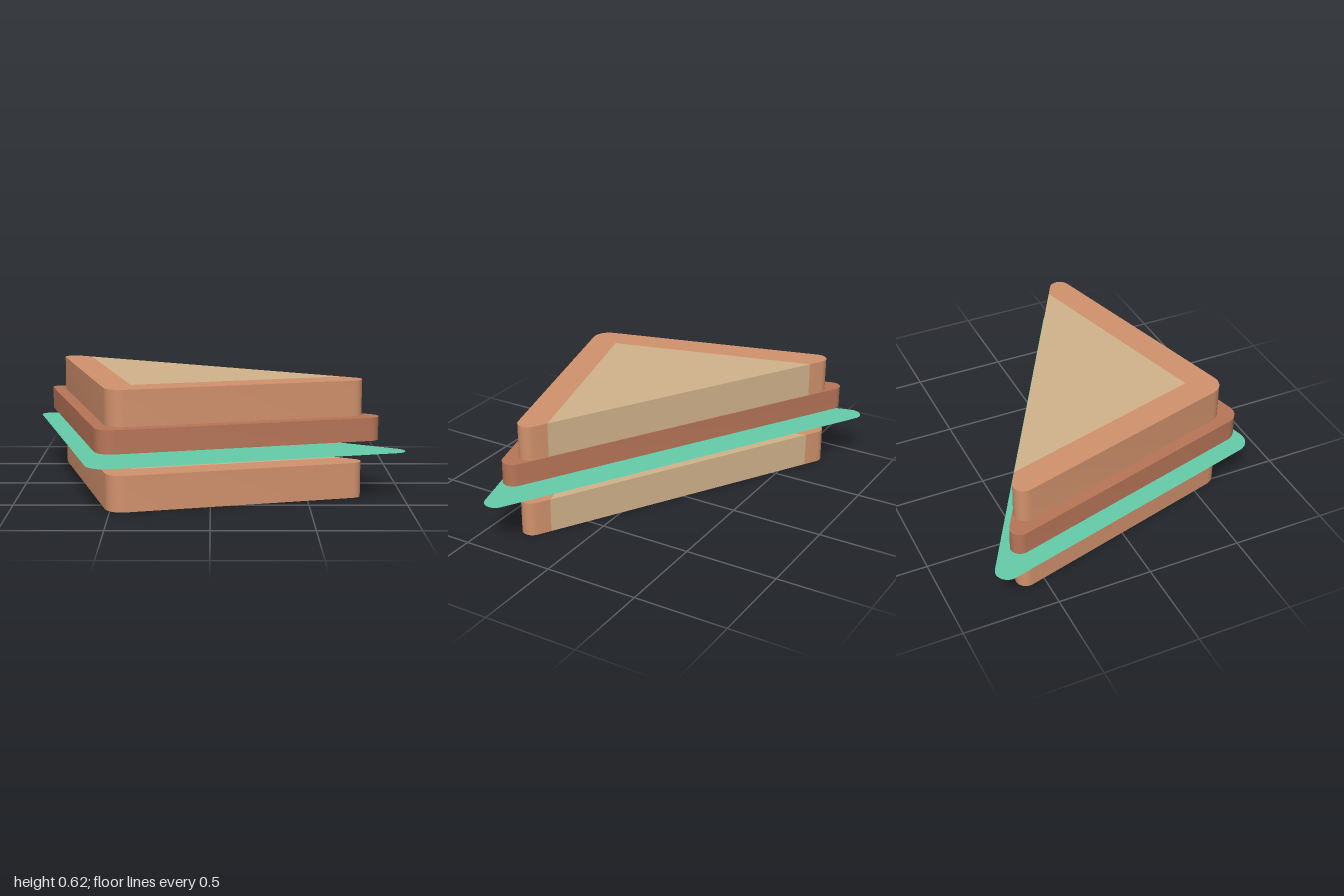
import * as THREE from 'three';
import { toCreasedNormals } from 'three/addons/utils/BufferGeometryUtils.js';

const mat = (name, color, extra = {}) =>
  Object.assign(new THREE.MeshStandardMaterial({ color, ...extra }), { name });

// Outward directions of the three edges: long cut, front crust, side crust
const ANGLES = [60, -75, -165, -300].map(THREE.MathUtils.degToRad);

// Rounded corners of a triangle given by the distance of each edge from the origin.
// Returns one list of points per corner, in clockwise order seen from above.
function cornerArcs(dist, radii, steps = 9) {
  return radii.map((r, i) => {
    const a = ANGLES[i], b = ANGLES[i + 1];
    const da = dist[i] - r, db = dist[(i + 1) % 3] - r;
    const det = Math.sin(b - a);
    const cx = (da * Math.sin(b) - db * Math.sin(a)) / det;
    const cy = (db * Math.cos(a) - da * Math.cos(b)) / det;
    if (r === 0) return [new THREE.Vector2(cx, cy)];
    return Array.from({ length: steps + 1 }, (_, k) => {
      const t = a + (b - a) * k / steps;
      return new THREE.Vector2(cx + r * Math.cos(t), cy + r * Math.sin(t));
    });
  });
}

// Upright slab with smooth rounded corners and sharp rims
function slab(name, points, y, height, material) {
  const geo = new THREE.ExtrudeGeometry(new THREE.Shape(points), { depth: height, bevelEnabled: false });
  geo.rotateX(-Math.PI / 2);
  const mesh = new THREE.Mesh(toCreasedNormals(geo, 0.6), material);
  mesh.name = name;
  mesh.position.y = y;
  return mesh;
}

export function createModel() {
  const crust = mat('crust brown', 0xd2926d);
  const crumb = mat('crumb tan', 0xd2b48c);
  const meat = mat('meat brown', 0xb97659);
  const leaf = mat('lettuce green', 0x66cdaa, { side: THREE.DoubleSide });

  const model = new THREE.Group();
  model.name = 'sandwich';

  // Bread slices: a crumb wedge open at the cut, with a crust round two sides
  const crumbPoints = cornerArcs([0.167, 0.372, 0.511], [0, 0, 0]).flat();
  const [cutRight, inner, cutLeft] = crumbPoints;
  const outer = cornerArcs([0.167, 0.522, 0.661], [0.055, 0.09, 0.054]).flat();
  const crustPoints = [cutRight, ...outer, cutLeft, inner];
  for (const [name, y] of [['bottomBread', 0], ['topBread', 0.43]]) {
    const bread = new THREE.Group();
    bread.name = name;
    bread.add(slab('crumb', crumbPoints, y, 0.185, crumb));
    bread.add(slab('crust', crustPoints, y, 0.185, crust));
    model.add(bread);
  }

  // Meat slice
  const meatPoints = cornerArcs([0.172, 0.588, 0.724], [0.058, 0.09, 0.05]).flat();
  model.add(slab('meat', meatPoints, 0.31, 0.12, meat));

  // Lettuce: a single flat leaf
  const leafPoints = cornerArcs([0.232, 0.641, 0.777], [0.062, 0.1, 0.062]).flat();
  const lettuce = new THREE.Mesh(new THREE.ShapeGeometry(new THREE.Shape(leafPoints)), leaf);
  lettuce.name = 'lettuce';
  lettuce.rotation.x = -Math.PI / 2;
  lettuce.position.y = 0.25;
  model.add(lettuce);

  return model;
}
